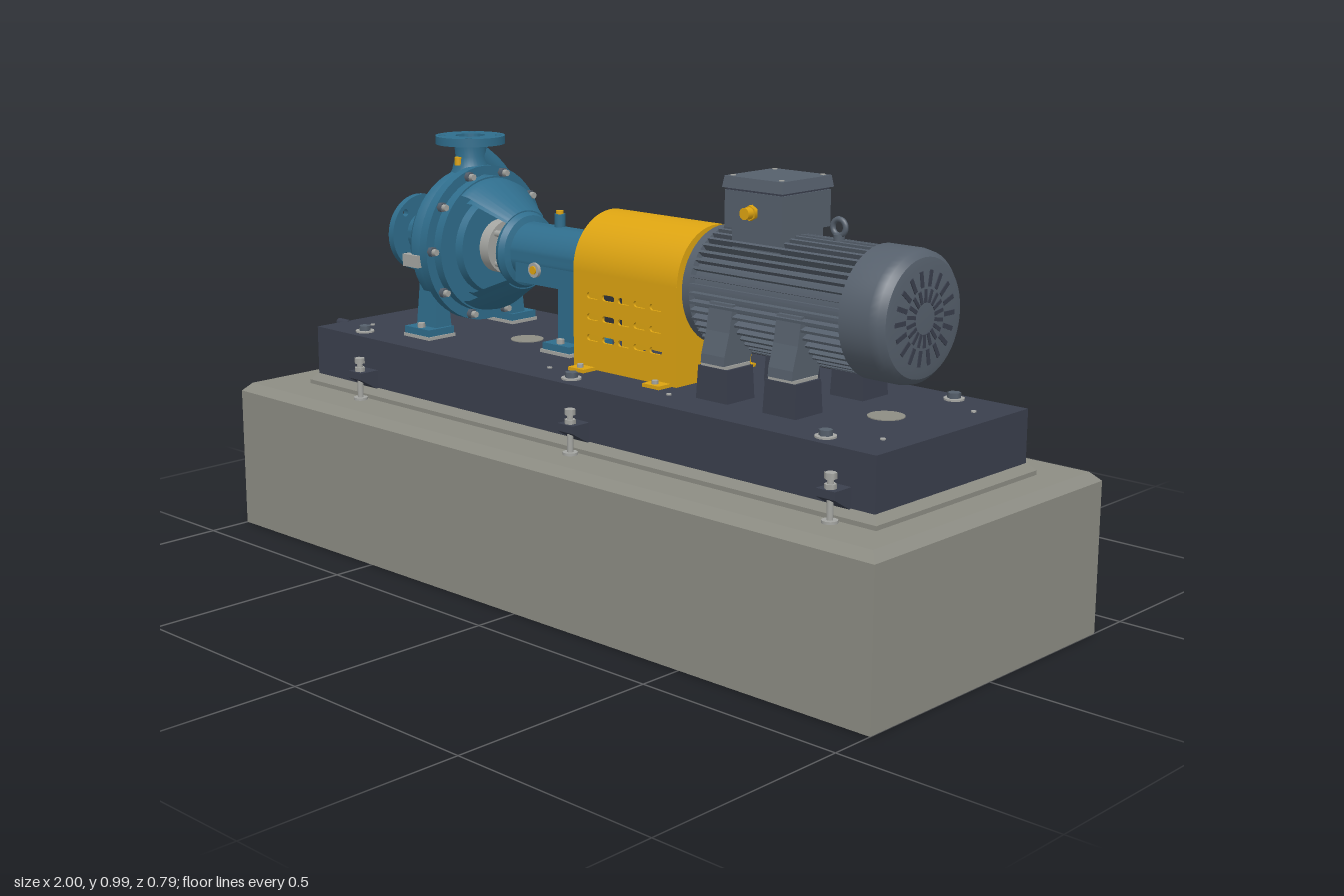
import * as THREE from 'three';
import { toCreasedNormals } from 'three/addons/utils/BufferGeometryUtils.js';

const paint = (name, color, side = THREE.FrontSide) => {
  const m = new THREE.MeshStandardMaterial({ color, side });
  m.name = name;
  return m;
};

export function createModel() {
  const root = new THREE.Group();
  root.name = 'pumpSet';
  const concrete = paint('concrete', 0x8d8d84);
  const frame = paint('darkFrame', 0x3a3f4d);
  const blue = paint('pumpBlue', 0x2f6d8c, THREE.DoubleSide);
  const yellow = paint('guardYellow', 0xdda411, THREE.DoubleSide);
  const grey = paint('motorGrey', 0x56606c);
  const steel = paint('steel', 0xa5a6a2);
  const AX = 0.73; // shaft height

  const add = (name, geo, mat, x = 0, y = 0, z = 0, parent = root) => {
    const m = new THREE.Mesh(geo, mat);
    m.name = name;
    m.position.set(x, y, z);
    parent.add(m);
    return m;
  };
  // box given by its limits
  const box = (name, mat, x0, x1, y0, y1, z0, z1, parent = root) =>
    add(name, new THREE.BoxGeometry(x1 - x0, y1 - y0, z1 - z0), mat, (x0 + x1) / 2, (y0 + y1) / 2, (z0 + z1) / 2, parent);
  // box whose top is drawn in by an inset
  const taper = (name, mat, w, h, d, y0, ix, iz, x = 0, z = 0) => {
    const g = new THREE.BoxGeometry(w, h, d), p = g.attributes.position;
    for (let i = 0; i < p.count; i++) if (p.getY(i) > 0) {
      p.setX(i, p.getX(i) - Math.sign(p.getX(i)) * ix);
      p.setZ(i, p.getZ(i) - Math.sign(p.getZ(i)) * iz);
    }
    g.computeVertexNormals();
    return add(name, g, mat, x, y0 + h / 2, z);
  };
  const cylY = (name, mat, r, x, y0, y1, z, n = 16, parent = root) =>
    add(name, new THREE.CylinderGeometry(r, r, y1 - y0, n), mat, x, (y0 + y1) / 2, z, parent);
  const cylX = (name, mat, r, x0, x1, y = AX, z = 0, n = 32) =>
    add(name, new THREE.CylinderGeometry(r, r, x1 - x0, n).rotateZ(-Math.PI / 2), mat, (x0 + x1) / 2, y, z);
  const cylZ = (name, mat, r, x, y, z0, z1, n = 16) =>
    add(name, new THREE.CylinderGeometry(r, r, z1 - z0, n).rotateX(Math.PI / 2), mat, x, y, (z0 + z1) / 2);
  // turned part along x; points are [radius, x]
  const turnX = (name, mat, pts, start = 0, len = Math.PI * 2) => {
    const g = new THREE.LatheGeometry(pts.map(([r, x]) => new THREE.Vector2(r, x)), 48, start, len);
    return add(name, toCreasedNormals(g.rotateZ(-Math.PI / 2), 0.6), mat, 0, AX, 0);
  };
  const extrude = (shape, depth) => new THREE.ExtrudeGeometry(shape, { depth, bevelEnabled: false, curveSegments: 24 });
  const poly = (pts) => new THREE.Shape(pts.map(([x, y]) => new THREE.Vector2(x, y)));
  // pipe flange with a bore and bolt holes, facing +z
  const flange = (r, bore, depth, n) => {
    const s = new THREE.Shape().absarc(0, 0, r, 0, Math.PI * 2);
    s.holes.push(new THREE.Path().absarc(0, 0, bore, 0, Math.PI * 2, true));
    for (let i = 0; i < n; i++) {
      const a = (i + 0.5) * Math.PI * 2 / n, q = r * 0.8;
      s.holes.push(new THREE.Path().absarc(q * Math.cos(a), q * Math.sin(a), 0.009, 0, Math.PI * 2, true));
    }
    return toCreasedNormals(extrude(s, depth), 0.6);
  };

  // Foundation block and grout
  box('foundationBlock', concrete, -1, 1, 0, 0.345, -0.395, 0.395);
  taper('foundationChamfer', concrete, 2, 0.02, 0.79, 0.345, 0.02, 0.02);
  box('groutPad', concrete, -0.872, 0.912, 0.365, 0.375, -0.277, 0.277);
  taper('groutBevel', concrete, 1.784, 0.016, 0.554, 0.375, 0.015, 0.015, 0.02);

  // Base frame with fittings
  box('baseFrame', frame, -0.857, 0.895, 0.39, 0.51, -0.26, 0.26);
  cylX('drainPipe', frame, 0.011, -0.89, -0.85, 0.502, 0.165, 12);
  for (const x of [-0.37, 0.72]) cylY('groutHole', concrete, 0.04, x, 0.508, 0.512, 0, 24);
  for (const s of [-1, 1]) {
    for (const x of [-0.722, 0.007, 0.735]) {
      cylY('anchorWasher', steel, 0.023, x, 0.51, 0.514, s * 0.218);
      cylY('anchorNut', grey, 0.015, x, 0.514, 0.526, s * 0.218, 6);
    }
    for (const [x, z] of [[-0.77, 0.155], [-0.105, 0.178], [0.268, 0.178], [0.83, 0.155]])
      cylY('tappedPlug', steel, 0.006, x, 0.508, 0.513, s * z, 8);
    // Levelling lugs with jack bolts
    const side = new THREE.Group();
    side.name = 'levellingLugs';
    side.rotation.y = s > 0 ? 0 : Math.PI;
    root.add(side);
    const lug = extrude(poly([[0.25, 0.39], [0.265, 0.39], [0.312, 0.418], [0.312, 0.435], [0.25, 0.435]]), 0.048)
      .rotateY(-Math.PI / 2);
    for (const x of [-0.648, 0.082, 0.812]) {
      add('lug', lug, frame, s * x + 0.024, 0, 0, side);
      cylY('jackBolt', steel, 0.007, s * x, 0.368, 0.46, 0.296, 10, side);
      cylY('jackBoltHead', steel, 0.013, s * x, 0.455, 0.468, 0.296, 6, side);
      cylY('jackNut', steel, 0.013, s * x, 0.435, 0.445, 0.296, 6, side);
      cylY('jackPad', steel, 0.017, s * x, 0.365, 0.371, 0.296, 16, side);
    }
  }

  // Pump casing, suction and discharge
  turnX('volute', blue, [[0.068, -0.64], [0.08, -0.62], [0.13, -0.618], [0.162, -0.607], [0.178, -0.585],
    [0.178, -0.555], [0.17, -0.54], [0.19, -0.54], [0.19, -0.515], [0.166, -0.515], [0.166, -0.49], [0, -0.49]]);
  turnX('suctionNozzle', blue, [[0.05, -0.76], [0.05, -0.73], [0.06, -0.68], [0.072, -0.635], [0.09, -0.615]]);
  add('suctionFlange', flange(0.096, 0.045, 0.018, 4).rotateY(-Math.PI / 2), blue, -0.752, AX, 0);
  cylX('suctionBore', frame, 0.046, -0.745, -0.74);
  const neck = [[0.075, 0.86], [0.046, 0.905], [0.037, 0.94], [0.04, 0.972]].map(([r, y]) => new THREE.Vector2(r, y));
  add('dischargeNeck', new THREE.LatheGeometry(neck, 32), blue, -0.565);
  add('dischargeFlange', flange(0.085, 0.036, 0.02, 4).rotateX(-Math.PI / 2), blue, -0.565, 0.97, 0);
  cylY('dischargeBore', frame, 0.037, -0.565, 0.974, 0.978, 0, 24);
  const sweep = new THREE.CatmullRomCurve3([[0.68, -0.142], [0.79, -0.136], [0.88, -0.08], [0.945, 0]]
    .map(([y, z]) => new THREE.Vector3(-0.57, y, z)));
  add('voluteSweep', new THREE.TubeGeometry(sweep, 20, 0.04, 16), blue);
  for (let i = 0; i < 10; i++) {
    const a = i * Math.PI / 5;
    const y = AX + 0.177 * Math.sin(a), z = 0.177 * Math.cos(a);
    cylX('casingStud', steel, 0.008, -0.515, -0.492, y, z, 8);
    cylX('casingNut', grey, 0.012, -0.515, -0.503, y, z, 6);
  }
  box('casingPlate', steel, -0.61, -0.555, 0.685, 0.715, 0.165, 0.185);
  for (const [x, y] of [[-0.71, 0.787], [-0.565, 0.94]]) cylY('gaugePlug', yellow, 0.009, x, y - 0.02, y, y > 0.9 ? 0.04 : 0, 8);
  for (const s of [-1, 1]) {
    box('pumpFootShim', steel, -0.62, -0.525, 0.51, 0.518, s * 0.137 - 0.042, s * 0.137 + 0.042);
    box('pumpFoot', blue, -0.617, -0.528, 0.518, 0.535, s * 0.137 - 0.04, s * 0.137 + 0.04);
    taper('pumpLeg', blue, 0.072, 0.13, 0.05, 0.53, 0.008, 0.008, -0.572, s * 0.122);
    cylY('pumpFootBolt', steel, 0.01, -0.572, 0.535, 0.546, s * 0.163, 6);
  }

  // Lantern arms, seal and bearing housing
  for (const mid of [Math.PI / 2, Math.PI * 1.5])
    turnX('lanternArm', blue, [[0.135, -0.49], [0.162, -0.49], [0.158, -0.47], [0.095, -0.37], [0.08, -0.37], [0.135, -0.47], [0.135, -0.49]],
      mid - 0.65, 1.3);
  turnX('lanternRing', blue, [[0, -0.49], [0.12, -0.49], [0.115, -0.47], [0.05, -0.47]]);
  cylX('sealSleeve', steel, 0.04, -0.47, -0.36);
  cylX('sealGland', steel, 0.065, -0.465, -0.435);
  for (let i = 0; i < 4; i++) {
    const a = (i + 0.5) * Math.PI / 2;
    cylX('glandStud', steel, 0.008, -0.435, -0.41, AX + 0.052 * Math.sin(a), 0.052 * Math.cos(a), 8);
  }
  turnX('bearingHousing', blue, [[0, -0.385], [0.085, -0.385], [0.092, -0.37], [0.085, -0.355], [0.07, -0.35], [0.07, -0.12],
    [0.076, -0.12], [0.076, -0.103], [0.048, -0.103], [0.042, -0.085], [0, -0.085]]);
  box('oilSump', blue, -0.335, -0.105, 0.667, 0.74, -0.068, 0.068);
  cylY('oilBreather', blue, 0.013, -0.252, 0.79, 0.83, 0, 12);
  cylY('breatherCap', yellow, 0.009, -0.252, 0.83, 0.838, 0, 12);
  cylZ('sightGlassRim', steel, 0.018, -0.265, 0.703, 0.066, 0.076);
  cylZ('sightGlass', yellow, 0.01, -0.265, 0.703, 0.074, 0.079);
  box('supportLeg', blue, -0.225, -0.17, 0.53, 0.68, -0.035, 0.035);
  box('supportFoot', blue, -0.24, -0.15, 0.518, 0.534, -0.072, 0.072);
  box('supportShim', steel, -0.245, -0.145, 0.51, 0.518, -0.076, 0.076);
  for (const z of [-0.055, 0.055]) cylY('supportBolt', steel, 0.01, -0.197, 0.534, 0.545, z, 6);

  // Coupling and shaft
  cylX('shaft', steel, 0.024, -0.1, 0.26);
  cylX('pumpCouplingHub', steel, 0.065, -0.01, 0.06);
  cylX('motorCouplingHub', steel, 0.065, 0.09, 0.16);

  // Coupling guard: slotted sides, arched roof, slit end plates
  const GR = 0.125, GC = 0.735;
  const panel = poly([[-0.08, 0.512], [0.24, 0.512], [0.24, GC], [-0.08, GC]]);
  for (const y of [0.585, 0.633, 0.682]) for (let i = 0; i < 5; i++) {
    const x = -0.018 + i * 0.049, h = 0.007;
    const slot = new THREE.Path();
    slot.absarc(x + 0.012, y, h, -Math.PI / 2, Math.PI / 2);
    slot.absarc(x - 0.012, y, h, Math.PI / 2, Math.PI * 1.5);
    slot.closePath();
    panel.holes.push(slot);
  }
  for (const s of [-1, 1]) {
    add('guardSide', extrude(panel, 0.006), yellow, 0, 0, s > 0 ? GR - 0.006 : -GR);
    for (const x of [-0.037, 0.197]) {
      box('guardTab', yellow, x - 0.025, x + 0.025, 0.51, 0.518, s * 0.142 - 0.02, s * 0.142 + 0.02);
      cylY('guardBolt', steel, 0.008, x, 0.518, 0.526, s * 0.147, 6);
    }
  }
  add('guardRoof', new THREE.CylinderGeometry(GR, GR, 0.32, 40, 1, true, Math.PI, Math.PI).rotateZ(-Math.PI / 2), yellow, 0.08, GC, 0);
  const end = new THREE.Shape();
  end.moveTo(0.032, 0.512).lineTo(GR - 0.001, 0.512).lineTo(GR - 0.001, GC);
  end.absarc(0, GC, GR - 0.001, 0, Math.PI);
  end.lineTo(-GR + 0.001, 0.512).lineTo(-0.032, 0.512).lineTo(-0.032, GC);
  end.absarc(0, GC, 0.032, Math.PI, 0, true);
  for (const x of [-0.08, 0.234]) add('guardEndPlate', extrude(end, 0.006).rotateY(Math.PI / 2), yellow, x, 0, 0);

  // Motor body, cooling fins and fan cowl
  turnX('motorBody', grey, [[0, 0.248], [0.05, 0.248], [0.06, 0.254], [0.115, 0.256], [0.132, 0.262], [0.132, 0.282],
    [0.118, 0.285], [0.118, 0.71], [0, 0.71]]);
  for (let i = 0; i < 44; i++) {
    const a = i * Math.PI * 2 / 44;
    const fin = add('coolingFin', new THREE.BoxGeometry(0.415, 0.026, 0.006), grey, 0.492, AX + 0.123 * Math.cos(a), 0.123 * Math.sin(a));
    fin.rotation.x = a;
  }
  turnX('fanCowl', grey, [[0.125, 0.7], [0.142, 0.7], [0.142, 0.775], [0.138, 0.795], [0.126, 0.807], [0.11, 0.81], [0, 0.81]]);
  cylX('cowlBack', grey, 0.139, 0.701, 0.706);
  for (let i = 0; i < 18; i++) for (const [r, len, w] of [[0.047, 0.028, 0.008], [0.083, 0.034, 0.01]]) {
    const a = (i + (r > 0.06 ? 0.5 : 0)) * Math.PI / 9;
    const slot = add('cowlSlot', new THREE.BoxGeometry(0.004, len, w), frame, 0.81, AX + r * Math.cos(a), r * Math.sin(a));
    slot.rotation.x = a;
  }

  // Terminal box, cable gland and lifting eye
  box('terminalNeck', grey, 0.35, 0.485, 0.83, 0.885, -0.07, 0.07);
  box('terminalBox', grey, 0.337, 0.497, 0.875, 0.955, -0.08, 0.08);
  box('terminalGasket', frame, 0.34, 0.494, 0.955, 0.96, -0.078, 0.078);
  taper('terminalLid', grey, 0.168, 0.025, 0.17, 0.96, 0.004, 0.004, 0.417);
  for (const x of [0.35, 0.484]) for (const z of [-0.068, 0.068]) cylY('lidScrew', steel, 0.006, x, 0.98, 0.987, z, 8);
  cylZ('cableGland', yellow, 0.013, 0.415, 0.913, 0.08, 0.107);
  cylZ('cableGlandNut', yellow, 0.017, 0.415, 0.913, 0.08, 0.09, 6);
  cylY('liftingEyeStem', grey, 0.012, 0.585, 0.83, 0.877, 0, 12);
  add('liftingEye', new THREE.TorusGeometry(0.017, 0.006, 10, 24), grey, 0.585, 0.892, 0);

  // Motor feet on pedestals
  const foot = poly([[0.07, 0.59], [0.155, 0.59], [0.153, 0.61], [0.138, 0.66], [0.128, 0.72], [0.09, 0.72], [0.06, 0.63]]);
  for (const s of [-1, 1]) for (const x of [0.372, 0.56]) {
    taper('motorPedestal', frame, 0.09, 0.073, 0.088, 0.51, 0.003, 0.003, x, s * 0.112);
    box('motorShim', steel, x - 0.036, x + 0.036, 0.583, 0.59, s * 0.112 - 0.038, s * 0.112 + 0.038);
    const f = add('motorFoot', extrude(foot, 0.066).rotateY(-Math.PI / 2), grey, x + s * 0.033, 0, 0);
    f.rotation.y = s > 0 ? 0 : Math.PI;
  }
  return root;
}
